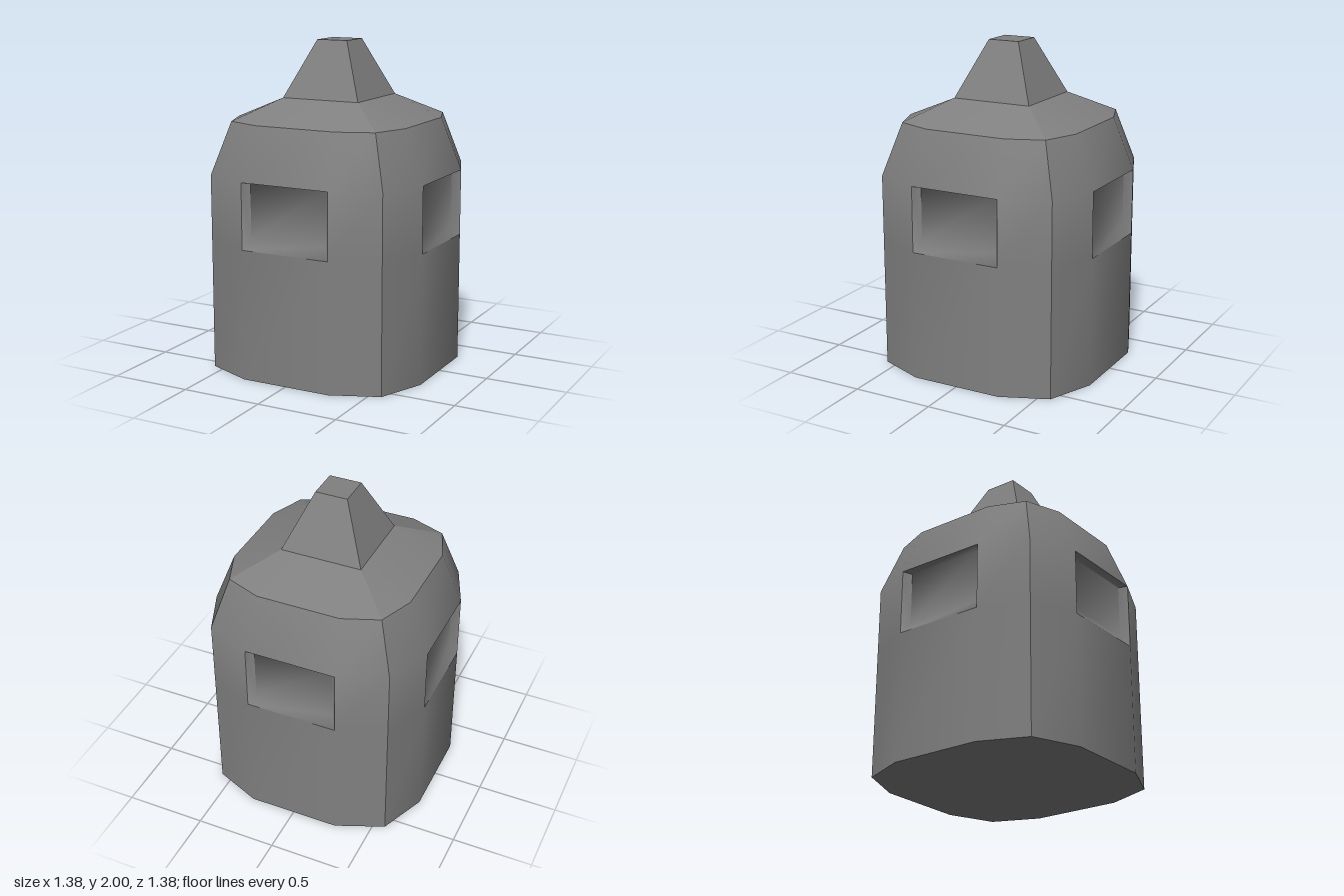
import * as THREE from 'three';
import { toCreasedNormals } from 'three/addons/utils/BufferGeometryUtils.js';

const material = new THREE.MeshStandardMaterial({ color: 0x808080 });

// Builds one mesh from polygons (corners counter-clockwise seen from outside),
// each polygon repeated on the four sides around the vertical axis.
function facetMesh(name, polygons, crease) {
  const positions = [];
  for (let t = 0; t < 4; t++) {
    const c = Math.round(Math.cos(t * Math.PI / 2));
    const s = Math.round(Math.sin(t * Math.PI / 2));
    const turn = ([x, y, z]) => [x * c + z * s, y, z * c - x * s];
    for (const poly of polygons) {
      const p = poly.map(turn);
      for (let i = 1; i < p.length - 1; i++) positions.push(...p[0], ...p[i], ...p[i + 1]);
    }
  }
  const geometry = new THREE.BufferGeometry();
  geometry.setAttribute('position', new THREE.Float32BufferAttribute(positions, 3));
  const mesh = new THREE.Mesh(toCreasedNormals(geometry, crease), material);
  mesh.name = name;
  return mesh;
}

// One side of a twelve-sided ring: corner, middle, middle, corner
const sideRow = (y, corner, mid, face) => [
  [-corner, y, corner], [-mid, y, face], [mid, y, face], [corner, y, corner],
];

// One side of a square ring
const squareRow = (y, h) => [[-h, y, h], [h, y, h]];

export function createModel() {
  const group = new THREE.Group();

  // Walls: straight up to 1.2, then leaning in, with an opening on each side
  const rows = [
    sideRow(0, 0.573, 0.285, 0.692),
    sideRow(0.8, 0.573, 0.285, 0.692),
    sideRow(1.205, 0.573, 0.285, 0.692),
    sideRow(1.525, 0.48, 0.26, 0.565),
  ];
  const walls = [];
  for (let r = 0; r < 3; r++) {
    for (let i = 0; i < 3; i++) {
      if (r === 1 && i === 1) continue;
      walls.push([rows[r][i], rows[r][i + 1], rows[r + 1][i + 1], rows[r + 1][i]]);
    }
  }
  group.add(facetMesh('walls', walls, 0.6));

  // Shallow recesses with softly shaded sides and a sloping sill
  const rect = (x, y0, y1, z) => [[-x, y0, z], [x, y0, z], [x, y1, z], [-x, y1, z]];
  const outer = rect(0.285, 0.8, 1.205, 0.692);
  const inner = rect(0.25, 0.87, 1.195, 0.645);
  const recess = [inner];
  for (let i = 0; i < 4; i++) {
    const j = (i + 1) % 4;
    recess.push([outer[i], outer[j], inner[j], inner[i]]);
  }
  group.add(facetMesh('windowRecesses', recess, 1.4));

  // Shallow hipped roof from the wall tops to the square foot of the spire
  const [a, b, c, d] = rows[3];
  const [l, r] = squareRow(1.655, 0.253);
  group.add(facetMesh('roof', [[a, b, l], [b, c, r, l], [c, d, r]], 0.3));

  // Tapered square spire with a flat top
  const [tl, tr] = squareRow(2, 0.1);
  group.add(facetMesh('spire', [[l, r, tr, tl], [tl, tr, [0, 2, 0]]], 0.6));

  // Flat underside
  const [e, f, g, h] = rows[0];
  group.add(facetMesh('base', [[[0, 0, 0], h, g, f, e]], 0.6));

  return group;
}
